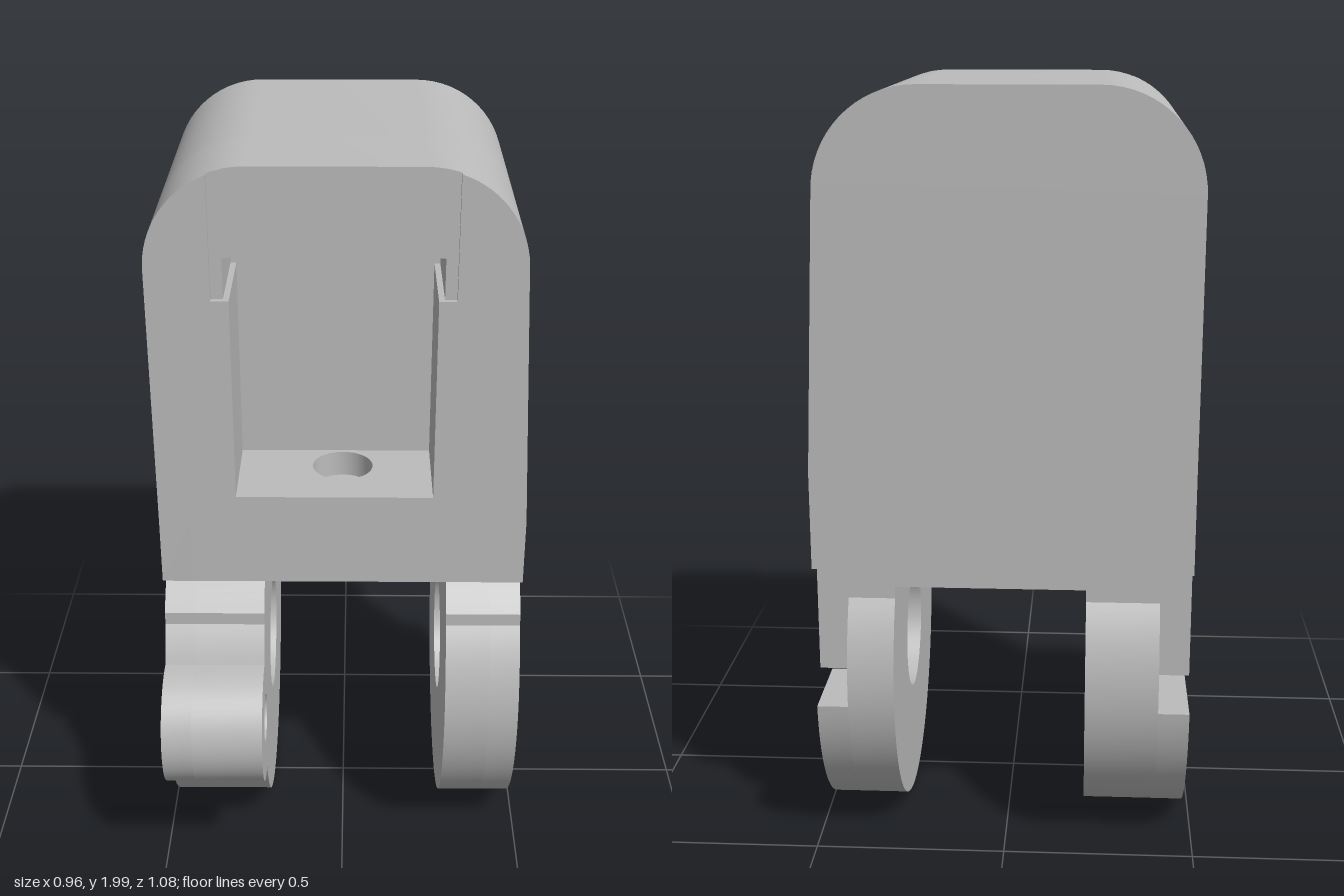
import * as THREE from 'three';
import { toCreasedNormals } from 'three/addons/utils/BufferGeometryUtils.js';

const P = (x, y) => new THREE.Vector2(x, y);
const SEAM = 1.06;              // height where the leg layers meet the housing
const CU = 0.07, CV = 0.47;     // hinge axis in side profiles (u = -z, v = y)
const R = 0.465;                // hinge disc radius

function arc(cx, cy, r, a0, a1, n = 24) {
  return Array.from({ length: n + 1 }, (_, i) => {
    const a = a0 + (a1 - a0) * i / n;
    return P(cx + r * Math.cos(a), cy + r * Math.sin(a));
  });
}

function circleHole(cx, cy, r) {
  return new THREE.Path(arc(cx, cy, r, 0, Math.PI * 2, 40).slice(0, -1));
}

function extrude(shapes, depth) {
  return new THREE.ExtrudeGeometry(shapes, { depth, bevelEnabled: false });
}

// Front of a leg: wedge gap under the housing, raised shoulder, optional lug
function legFront(lug) {
  const start = Math.acos(-0.38 / R);
  const pts = [
    P(-0.31, SEAM), P(-0.31, 0.875),
    ...arc(CU, CV, 0.486, Math.acos(-0.14 / 0.486), Math.acos(-0.38 / 0.486), 10),
  ];
  if (!lug) return [...pts, ...arc(CU, CV, R, start, Math.PI, 12)];
  return [
    ...pts,
    ...arc(CU, CV, R, start, Math.PI - 0.376, 6),
    ...arc(-0.37, CV, 0.17, Math.PI / 2, Math.PI * 1.5, 28),
    ...arc(CU, CV, R, Math.PI + 0.376, Math.PI + 0.5, 4),
  ];
}

const legBack = [P(0.47, 0.81), P(0.54, 0.81), P(0.54, SEAM)];

// Plain inner layer of a leg
function innerLayer(lug, bore) {
  const a0 = lug ? Math.PI + 0.52 : Math.PI + 0.05;
  const s = new THREE.Shape([
    ...legFront(lug),
    ...arc(CU, CV, R, a0, Math.PI * 2 + Math.acos(0.4 / R), 56),
    ...legBack,
  ]);
  s.holes.push(circleHole(CU, CV, bore));
  if (lug) s.holes.push(circleHole(-0.37, CV, 0.065));
  return s;
}

// Outer layer: bore opened to the back by an L-shaped groove, optional upright slot
function outerLayer(lug, bore, slot) {
  const h = 0.04, g = Math.asin(h / bore), T = Math.PI * 2;
  const a0 = lug ? Math.PI + 0.52 : Math.PI + 0.05;
  const around = slot
    ? [...arc(CU, CV, bore, T - g, Math.PI / 2 + g, 32),
      P(CU - h, 1.03), P(CU + h, 1.03),
      ...arc(CU, CV, bore, Math.PI / 2 - g, g, 12)]
    : arc(CU, CV, bore, T - g, g, 32);
  const s = new THREE.Shape([
    ...legFront(lug),
    ...arc(CU, CV, R, a0, T - Math.asin(h / R), 48),
    ...around,
    P(0.47, CV + h), ...legBack,
  ]);
  if (lug) s.holes.push(circleHole(-0.37, CV, 0.065));
  return s;
}

export function createModel() {
  const group = new THREE.Group();
  const grey = new THREE.MeshStandardMaterial({ color: 0xbcbcbc });
  grey.name = 'plain grey';

  function add(name, geo) {
    const mesh = new THREE.Mesh(toCreasedNormals(geo, 0.5), grey);
    mesh.name = name;
    group.add(mesh);
  }
  // Side profile swept along x
  function addSide(name, shape, x0, x1) {
    add(name, extrude(shape, x1 - x0).rotateY(Math.PI / 2).translate(x0, 0, 0));
  }
  // Front profile swept along z
  function addFront(name, shapes, z0, z1) {
    add(name, extrude(shapes, z1 - z0).translate(0, 0, z0));
  }

  // Housing with rounded top; right wall leans in slightly
  const topLeft = (a) => arc(-0.23, 1.75, 0.25, Math.PI, a, 16);
  const topRight = (a) => arc(0.2, 1.75, 0.25, a, 0, 16);
  const dome = [P(-0.478, SEAM), ...topLeft(Math.PI / 2), ...topRight(Math.PI / 2), P(0.48, SEAM)];
  addFront('housing', new THREE.Shape(dome), -0.54, 0.04);

  // Pocket walls
  addFront('pocketWalls', new THREE.Shape([
    ...dome,
    P(0.235, SEAM), P(0.235, 1.67), P(0.25, 1.67), P(0.25, 1.775),
    P(-0.29, 1.775), P(-0.29, 1.67), P(-0.275, 1.67), P(-0.275, SEAM),
  ]), 0.04, 0.295);

  // Front rim, cut away at the top for a sliding cover
  addFront('frontRim', [
    new THREE.Shape([P(-0.478, SEAM), ...topLeft(Math.acos(-0.36)),
      P(-0.32, 1.67), P(-0.275, 1.67), P(-0.275, SEAM)]),
    new THREE.Shape([P(0.235, SEAM), P(0.235, 1.67), P(0.28, 1.67),
      ...topRight(Math.acos(0.32)), P(0.48, SEAM)]),
  ], 0.295, 0.31);

  // Pocket floor with a round hole (shape y = -z)
  const floor = new THREE.Shape([P(-0.275, -0.31), P(0.235, -0.31), P(0.235, -0.04), P(-0.275, -0.04)]);
  floor.holes.push(circleHole(0, -0.13, 0.08));
  add('pocketFloor', extrude(floor, 1.13 - SEAM).rotateX(-Math.PI / 2).translate(0, SEAM, 0));

  // Bridge between the legs with a concave underside
  addSide('bridge', new THREE.Shape([
    P(-0.31, SEAM), P(-0.31, 0.875),
    ...arc(CU, CV, 0.482, Math.acos(-0.14 / 0.482), Math.acos(0.4 / 0.482), 24),
    ...legBack,
  ]), -0.21, 0.28);

  // Left leg: stepped bore, groove and upright slot
  addSide('leftLegInner', innerLayer(false, 0.17), 0.28, 0.40);
  addSide('leftLegOuter', outerLayer(false, 0.228, true), 0.40, 0.48);

  // Right leg: blind bore inside, keyhole groove outside, lug with pin hole
  addSide('rightLegInner', innerLayer(true, 0.17), -0.398, -0.21);
  addSide('rightLegOuter', outerLayer(true, 0.055, false), -0.478, -0.398);

  return group;
}
